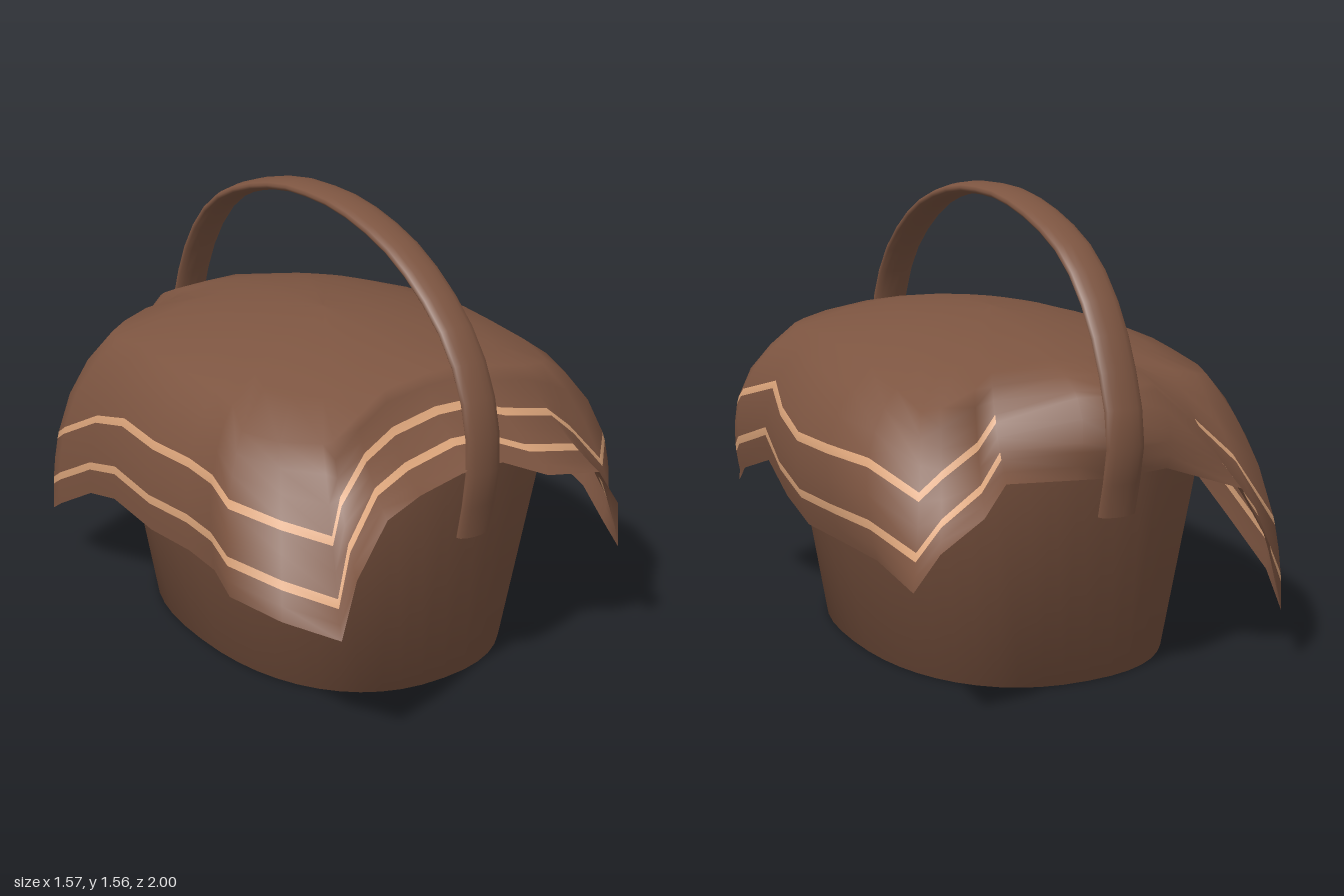
import * as THREE from 'three';
import { mergeVertices } from 'three/addons/utils/BufferGeometryUtils.js';

const brown = new THREE.MeshStandardMaterial({ color: 0x7d5541, side: THREE.DoubleSide });
brown.name = 'brown';
const tan = new THREE.MeshStandardMaterial({ color: 0xdba47a, side: THREE.DoubleSide });
tan.name = 'tan';

function part(name, geometry, material) {
  const mesh = new THREE.Mesh(geometry, material);
  mesh.name = name;
  return mesh;
}

// Tapered tub with a slightly squared oval plan, shaded smoothly around its foot
function makeBasket() {
  const profile = [[0, 0], [1, 0], [1, 0.82]].map(([r, y]) => new THREE.Vector2(r, y));
  const lathe = new THREE.LatheGeometry(profile, 48);
  lathe.deleteAttribute('normal');
  lathe.deleteAttribute('uv');
  const geo = mergeVertices(lathe, 1e-4);
  const pos = geo.attributes.position;
  const squared = (v) => Math.sign(v) * Math.pow(Math.abs(v), 0.87);
  for (let i = 0; i < pos.count; i++) {
    const y = pos.getY(i);
    const rx = 0.53 + 0.16 * y;
    const rz = 0.71 + 0.175 * y;
    pos.setXYZ(i, squared(pos.getX(i)) * rx + 0.01, y, squared(pos.getZ(i)) * rz - 0.01);
  }
  geo.computeVertexNormals();
  return part('basket', geo, brown);
}

// Flat oval strap bent into a hoop from front to back
function makeHandle() {
  const path = [
    [0.84, 0.6], [0.875, 0.82], [0.855, 1.02], [0.745, 1.23], [0.49, 1.43], [0.2, 1.525], [-0.01, 1.542],
    [-0.2, 1.53], [-0.46, 1.46], [-0.63, 1.37], [-0.77, 1.22], [-0.87, 1.02], [-0.912, 0.84], [-0.865, 0.6],
  ];
  const curve = new THREE.CatmullRomCurve3(path.map(([z, y]) => new THREE.Vector3(0, y, z)));
  const geo = new THREE.TubeGeometry(curve, 26, 0.022, 14);
  geo.scale(3.1, 1, 1);
  return part('handle', geo, brown);
}

// Hem of the cloth as x, y, z, counter-clockwise from the front edge
const hem = [
  [-0.62, 0.46, 0.98], [-0.58, 0.66, 1.0], [-0.43, 0.8, 0.95], [-0.25, 0.81, 0.88], [-0.05, 0.85, 0.88],
  [0.08, 0.84, 0.88], [0.24, 0.77, 0.92], [0.44, 0.74, 0.945], [0.57, 0.58, 0.91],
  [0.63, 0.385, 0.86], [0.66, 0.43, 0.75], [0.7, 0.5, 0.6], [0.7, 0.585, 0.35], [0.73, 0.52, 0.1],
  [0.74, 0.475, -0.12], [0.74, 0.49, -0.4], [0.75, 0.51, -0.7],
  [0.75, 0.48, -0.96], [0.68, 0.6, -1.0], [0.52, 0.68, -0.97], [0.4, 0.75, -0.88], [0.15, 0.73, -0.87],
  [0, 0.72, -0.87], [-0.18, 0.73, -0.87], [-0.4, 0.66, -0.97], [-0.53, 0.45, -0.95],
  [-0.62, 0.2, -0.9], [-0.67, 0.29, -0.74], [-0.67, 0.42, -0.5], [-0.71, 0.5, -0.25], [-0.71, 0.48, 0],
  [-0.71, 0.5, 0.25], [-0.72, 0.5, 0.42], [-0.79, 0.51, 0.62], [-0.73, 0.49, 0.82],
].map((p) => new THREE.Vector3(...p));

const domeHeight = (x, z) => 1.14 - 0.35 * (x - 0.05) ** 2 - 0.17 * (z - 0.05) ** 2;

// Middle of the back edge, where the cloth is tucked against the basket
const isTucked = (h) => h.z < -0.8 && Math.abs(h.x) < 0.3;

// Curve from the shoulder of the dome over the rim to one hem point
function dropCurve(h) {
  const shoulder = new THREE.Vector3(h.x * 0.78, 0, h.z * 0.7);
  shoulder.y = domeHeight(shoulder.x, shoulder.z);
  const out = new THREE.Vector3((h.x / 0.7) ** 3, 0, (h.z / 0.92) ** 3).normalize();
  if (h.x < 0) out.x *= 0.55;
  const slack = Math.abs(h.z) > 0.8 ? 0.5 : 0.25;
  const push = isTucked(h) ? 0.25 : THREE.MathUtils.clamp((shoulder.y - h.y - slack) * 0.7, -0.05, 0.2);
  const bend = shoulder.clone().lerp(h, 0.5).addScaledVector(out, push);
  bend.y += push * 0.5;
  return new THREE.QuadraticBezierCurve3(shoulder, bend, h);
}

// One column of cloth points; the stripes keep their distance from the hem
function clothColumn(h, domeSteps) {
  const curve = dropCurve(h);
  const length = curve.getLength();
  const width = 0.03 / length;
  const lower = 1 - 0.128 / length;
  const upper = 1 - Math.min(0.32, 0.13 + 0.33 * length) / length;
  const dropSteps = [
    0, upper / 3, upper / 1.5, upper, upper + width,
    (upper + width + lower) / 2, lower, lower + width, (lower + width + 1) / 2, 1,
  ];
  const dome = domeSteps.map((s) => {
    const x = curve.v0.x * s, z = curve.v0.z * s;
    return new THREE.Vector3(x, domeHeight(x, z), z);
  });
  return dome.concat(dropSteps.map((u) => curve.getPointAt(u)));
}

// Draped cloth with two woven stripes running parallel to the hem
function makeCloth() {
  const domeSteps = [0, 0.25, 0.5, 0.75];
  const stripeRows = [3, 6].map((r) => r + domeSteps.length);
  const columns = hem.map((h) => clothColumn(h, domeSteps));
  const rows = columns[0].length;
  const n = columns.length;
  const points = [];
  for (let r = 0; r < rows; r++) for (const column of columns) points.push(column[r]);

  const plain = [], striped = [];
  for (let r = 0; r < rows - 1; r++) {
    for (let i = 0; i < n; i++) {
      const j = (i + 1) % n;
      const a = r * n + i, b = a + n, c = (r + 1) * n + j, d = r * n + j;
      const hidden = isTucked(hem[i]) || isTucked(hem[j]);
      const faces = stripeRows.includes(r) && !hidden ? striped : plain;
      faces.push(a, b, c);
      if (r > 0) faces.push(a, c, d);
    }
  }
  const geo = new THREE.BufferGeometry().setFromPoints(points);
  geo.setIndex(plain.concat(striped));
  geo.addGroup(0, plain.length, 0);
  geo.addGroup(plain.length, striped.length, 1);
  geo.computeVertexNormals();
  return part('cloth', geo, [brown, tan]);
}

export function createModel() {
  const group = new THREE.Group();
  group.name = 'coveredBasket';
  group.add(makeBasket(), makeHandle(), makeCloth());
  return group;
}
